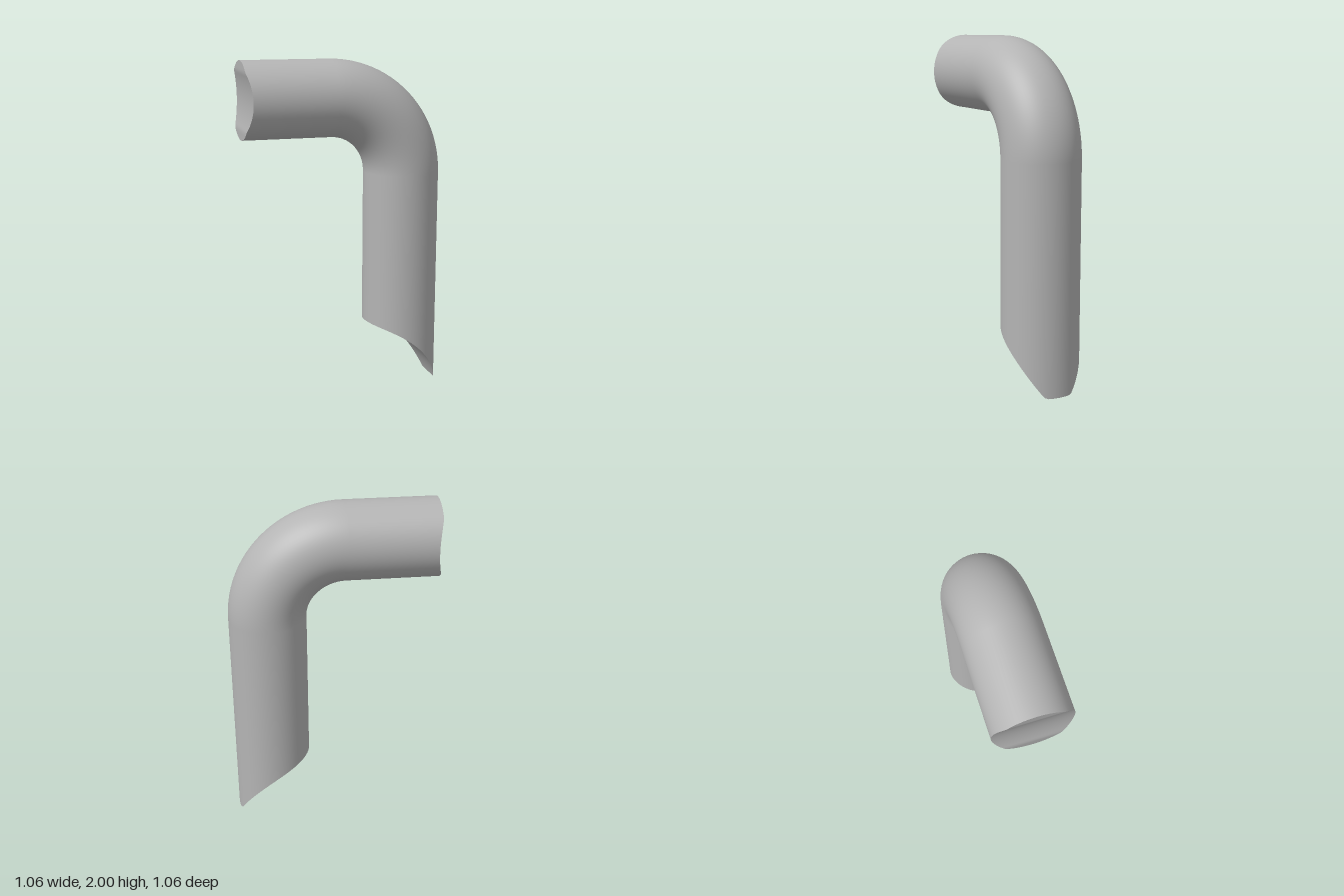
import * as THREE from 'three';
import { toCreasedNormals } from 'three/addons/utils/BufferGeometryUtils.js';

const R = 0.227;            // pipe radius
const BEND = 0.45;          // bend radius of the centre line
const AXIS = 0.428;         // vertical leg offset along the pipe's plane
const CY = 1.323;           // height of the bend centre
const SEG = 64, STEPS = 24;

// Slanted round cut at the foot, flat on its lowest tip
const footCut = a => Math.max(0, -0.186 + Math.sqrt(0.36 - (a + 0.358) ** 2));
// Shallow round hollow across the mouth, flat near the top and bottom
const mouthCut = h => -0.551 + Math.max(0, Math.sqrt(0.25 - h * h) - 0.472);

const footPoint = t => [AXIS + R * Math.cos(t), footCut(R * Math.cos(t)), R * Math.sin(t)];
const mouthPoint = t => [mouthCut(R * Math.cos(t)), CY + BEND + R * Math.cos(t), R * Math.sin(t)];
const bendPoint = (phi, t) => {
  const d = BEND + R * Math.cos(t);
  return [AXIS - BEND + d * Math.cos(phi), CY + d * Math.sin(phi), R * Math.sin(t)];
};

// Pipe wall lofted from the foot, round the bend, to the mouth
function wallGeometry() {
  const pos = [], nor = [], idx = [];
  for (let j = 0; j <= STEPS + 2; j++) {
    const phi = THREE.MathUtils.clamp((j - 1) / STEPS, 0, 1) * Math.PI / 2;
    for (let i = 0; i <= SEG; i++) {
      const t = i / SEG * Math.PI * 2;
      pos.push(...(j === 0 ? footPoint(t) : j === STEPS + 2 ? mouthPoint(t) : bendPoint(phi, t)));
      nor.push(Math.cos(t) * Math.cos(phi), Math.cos(t) * Math.sin(phi), Math.sin(t));
      if (j <= STEPS + 1 && i < SEG) {
        const a = j * (SEG + 1) + i, b = a + SEG + 1;
        idx.push(a, b, a + 1, b, b + 1, a + 1);
      }
    }
  }
  const g = new THREE.BufferGeometry();
  g.setAttribute('position', new THREE.Float32BufferAttribute(pos, 3));
  g.setAttribute('normal', new THREE.Float32BufferAttribute(nor, 3));
  g.setIndex(idx);
  return g;
}

// End face made of strips that join mirrored rim points
function endGeometry(point, flip) {
  const pos = [], idx = [], n = SEG / 2;
  for (let i = 0; i <= n; i++) {
    const t = i / n * Math.PI;
    pos.push(...point(t), ...point(-t));
    if (i < n) {
      const p = 2 * i, m = p + 1, p2 = p + 2, m2 = p + 3;
      idx.push(...(flip ? [p, m, p2, p2, m, m2] : [p, p2, m, p2, m2, m]));
    }
  }
  const g = new THREE.BufferGeometry();
  g.setAttribute('position', new THREE.Float32BufferAttribute(pos, 3));
  g.setIndex(idx);
  return toCreasedNormals(g, 0.25);
}

export function createModel() {
  const group = new THREE.Group();
  group.name = 'bentPipe';
  const grey = new THREE.MeshStandardMaterial({ color: 0xb4b4b4 });
  grey.name = 'grey';
  const add = (name, geometry) => {
    const mesh = new THREE.Mesh(geometry, grey);
    mesh.name = name;
    group.add(mesh);
  };
  add('pipeWall', wallGeometry());
  add('footEnd', endGeometry(footPoint, false));
  add('mouthEnd', endGeometry(mouthPoint, true));
  group.rotation.y = Math.PI / 4; // the pipe runs along the diagonal
  return group;
}
